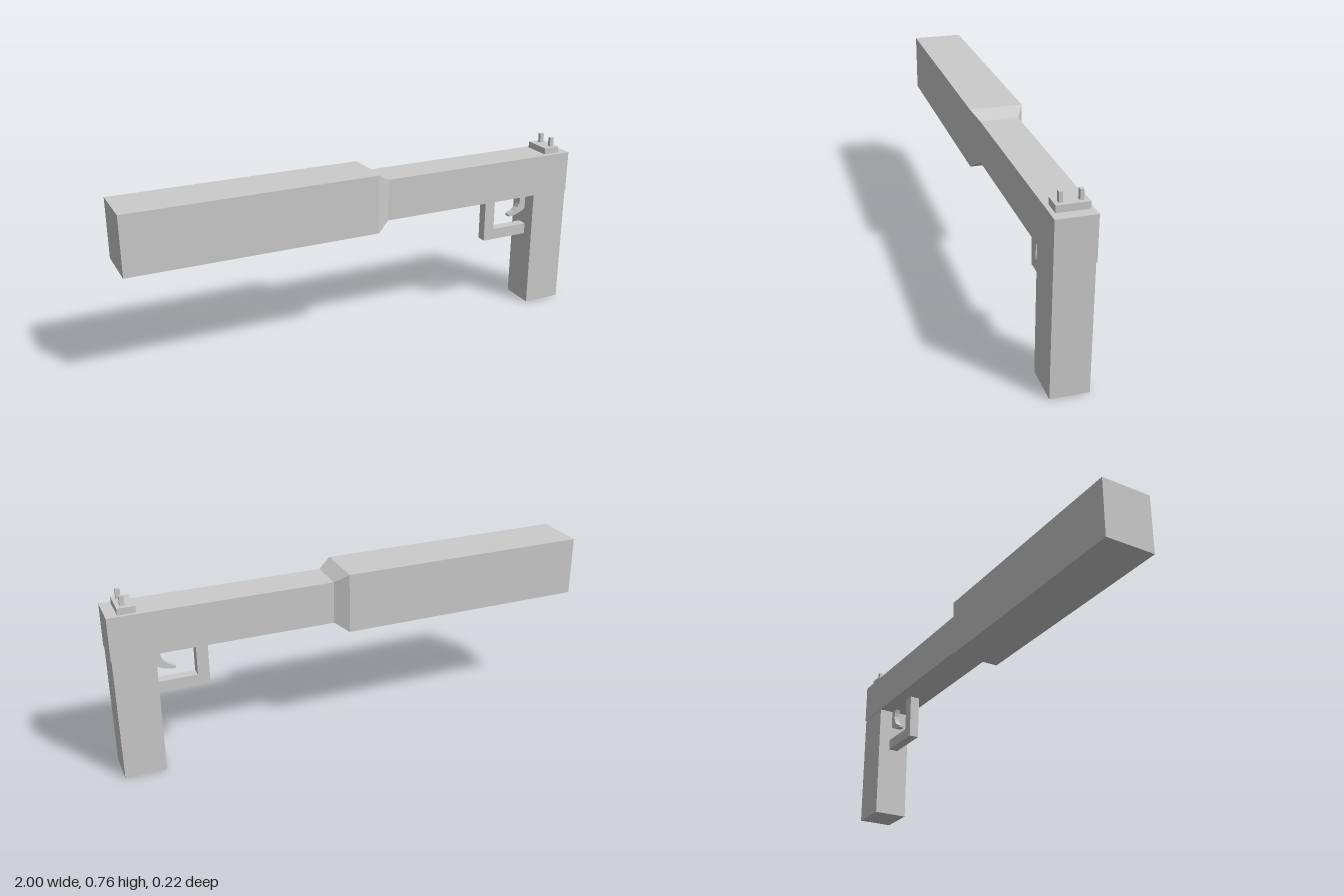
import * as THREE from 'three';

const material = new THREE.MeshStandardMaterial({ color: 0xcccccc, flatShading: true });

function addMesh(group, name, geometry) {
  const mesh = new THREE.Mesh(geometry, material);
  mesh.name = name;
  group.add(mesh);
  return mesh;
}

// Box given by its limits on each axis
function addBox(group, name, [x0, x1], [y0, y1], [z0, z1]) {
  const mesh = addMesh(group, name, new THREE.BoxGeometry(x1 - x0, y1 - y0, z1 - z0));
  mesh.position.set((x0 + x1) / 2, (y0 + y1) / 2, (z0 + z1) / 2);
  return mesh;
}

// Loft of rectangular sections along x: [x, y0, y1, z0, z1]
function loftGeometry(sections) {
  const points = [];
  const index = [];
  for (const [x, y0, y1, z0, z1] of sections) {
    points.push(x, y0, z1, x, y1, z1, x, y1, z0, x, y0, z0);
  }
  for (let s = 0; s < sections.length - 1; s++) {
    for (let k = 0; k < 4; k++) {
      const a = s * 4 + k, b = s * 4 + (k + 1) % 4;
      index.push(a, a + 4, b, b, a + 4, b + 4);
    }
  }
  const e = (sections.length - 1) * 4;
  index.push(0, 1, 2, 0, 2, 3, e, e + 2, e + 1, e, e + 3, e + 2);
  const geometry = new THREE.BufferGeometry();
  geometry.setAttribute('position', new THREE.Float32BufferAttribute(points, 3));
  geometry.setIndex(index);
  const flat = geometry.toNonIndexed();
  flat.computeVertexNormals();
  return flat;
}

// Side profile extruded along z around the centre line of the grip
function extrudeSide(shape, width) {
  const geometry = new THREE.ExtrudeGeometry(shape, { depth: width, bevelEnabled: false, curveSegments: 6 });
  return geometry.translate(0, 0, 0.005 - width / 2);
}

export function createModel() {
  const model = new THREE.Group();
  model.name = 'pistol';

  // Thick square barrel, tapered collar and slimmer receiver
  addMesh(model, 'barrelAndReceiver', loftGeometry([
    [-1, 0.48, 0.728, -0.108, 0.108],
    [0.05, 0.48, 0.728, -0.108, 0.108],
    [0.105, 0.518, 0.694, -0.077, 0.08],
    [1, 0.518, 0.694, -0.073, 0.08],
  ]));

  // Grip
  addBox(model, 'grip', [0.83, 0.997], [0, 0.53], [-0.07, 0.079]);

  // L-shaped trigger guard
  const guard = new THREE.Shape([
    [0.615, 0.525], [0.615, 0.32], [0.835, 0.32],
    [0.835, 0.368], [0.663, 0.368], [0.663, 0.525],
  ].map(([x, y]) => new THREE.Vector2(x, y)));
  addMesh(model, 'triggerGuard', extrudeSide(guard, 0.043));

  // Curved trigger
  const trigger = new THREE.Shape();
  trigger.moveTo(0.79, 0.525);
  trigger.bezierCurveTo(0.812, 0.48, 0.81, 0.445, 0.745, 0.42);
  trigger.lineTo(0.747, 0.41);
  trigger.quadraticCurveTo(0.8, 0.412, 0.835, 0.442);
  trigger.lineTo(0.835, 0.525);
  addMesh(model, 'trigger', extrudeSide(trigger, 0.025));

  // Rear sight: base plate with two posts
  const sight = new THREE.Group();
  sight.name = 'rearSight';
  addBox(sight, 'sightBase', [0.886, 0.956], [0.688, 0.721], [-0.06, 0.062]);
  for (const z of [-0.034, 0.039]) {
    addBox(sight, 'sightPost', [0.922, 0.94], [0.715, 0.76], [z - 0.007, z + 0.007]);
  }
  model.add(sight);

  return model;
}
